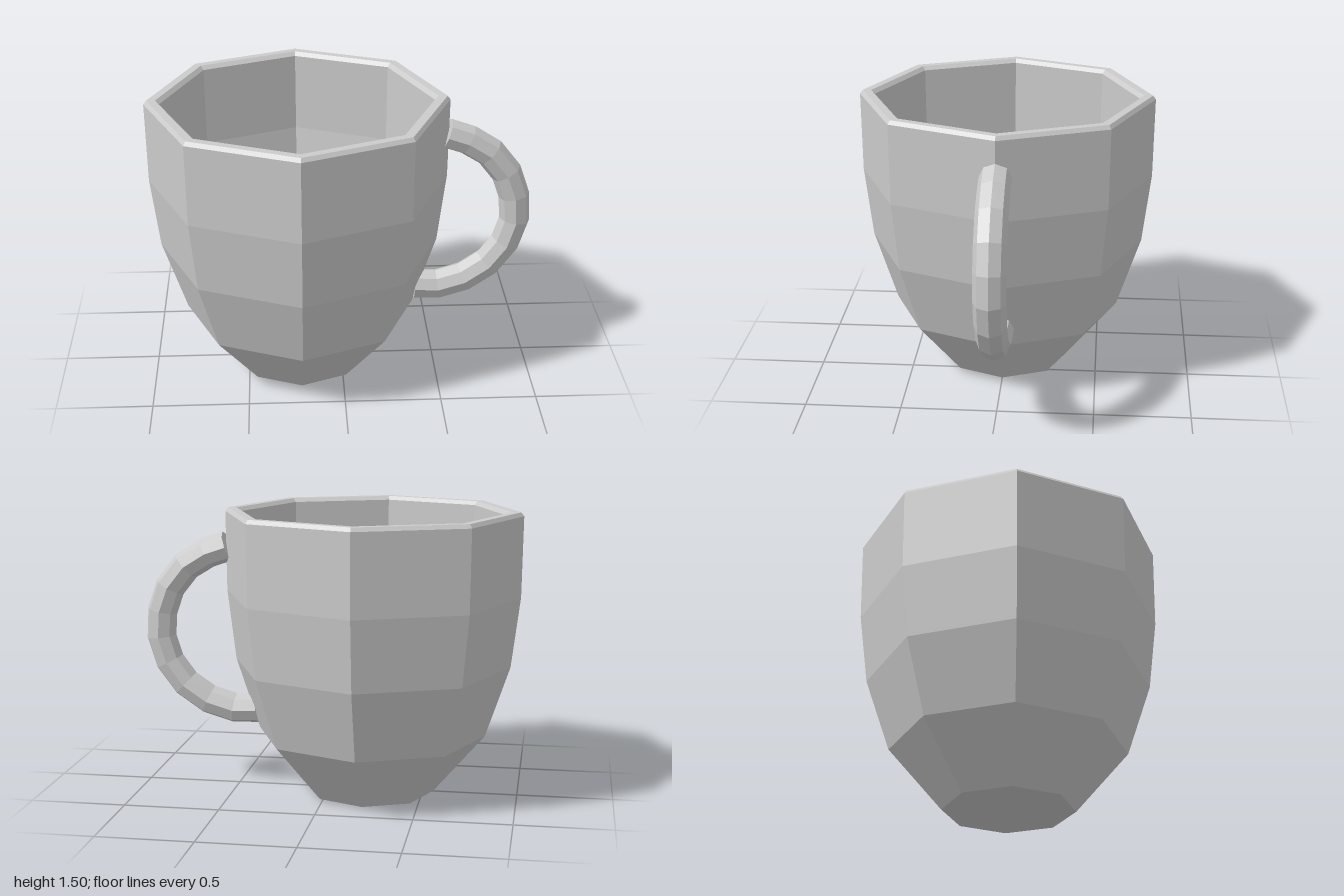
import * as THREE from 'three';

const SIDES = 8;
const vec2 = ([x, y]) => new THREE.Vector2(x, y);

// Octagonal tube swept along a path in the xy plane, mitred at each point, capped at both ends
function sweep(path, radius) {
  const pos = [], index = [];
  path.forEach((p, i) => {
    const a = path[Math.max(i - 1, 0)], b = path[Math.min(i + 1, path.length - 1)];
    const t = b.clone().sub(a).normalize();
    for (let k = 0; k < SIDES; k++) {
      const ang = (k / SIDES) * Math.PI * 2, c = Math.cos(ang) * radius;
      pos.push(p.x - t.y * c, p.y + t.x * c, Math.sin(ang) * radius);
    }
  });
  for (let i = 0; i < path.length - 1; i++) {
    for (let k = 0; k < SIDES; k++) {
      const a = i * SIDES + k, b = i * SIDES + (k + 1) % SIDES;
      index.push(a, b, a + SIDES, b, b + SIDES, a + SIDES);
    }
  }
  const last = (path.length - 1) * SIDES;
  for (let k = 1; k < SIDES - 1; k++) {
    index.push(0, k + 1, k, last, last + k, last + k + 1);
  }
  const geo = new THREE.BufferGeometry();
  geo.setAttribute('position', new THREE.Float32BufferAttribute(pos, 3));
  geo.setIndex(index);
  geo.computeVertexNormals();
  return geo;
}

export function createModel() {
  const group = new THREE.Group();
  group.name = 'mug';
  const material = new THREE.MeshStandardMaterial({
    color: 0xcccccc, flatShading: true, side: THREE.DoubleSide,
  });

  // Cup wall: base, outside, bevelled rim, inside, floor
  const profile = [
    [0, 0], [0.335, 0], [0.605, 0.315], [0.73, 0.69], [0.775, 1.06], [0.78, 1.48],
    [0.765, 1.5], [0.72, 1.5], [0.70, 1.48],
    [0.695, 1.06], [0.65, 0.71], [0.53, 0.36], [0.29, 0.08], [0, 0.08],
  ].map(vec2);
  const cup = new THREE.Mesh(new THREE.LatheGeometry(profile, SIDES), material);
  cup.name = 'cup';
  cup.position.x = -0.22;
  group.add(cup);

  // Handle on the +x corner
  const path = [
    [0.55, 1.295], [0.66, 1.257], [0.775, 1.185], [0.866, 1.07], [0.912, 0.94], [0.92, 0.80],
    [0.877, 0.664], [0.788, 0.545], [0.663, 0.46], [0.52, 0.417], [0.395, 0.423],
  ].map(vec2);
  const handle = new THREE.Mesh(sweep(path, 0.081), material);
  handle.name = 'handle';
  group.add(handle);

  return group;
}
